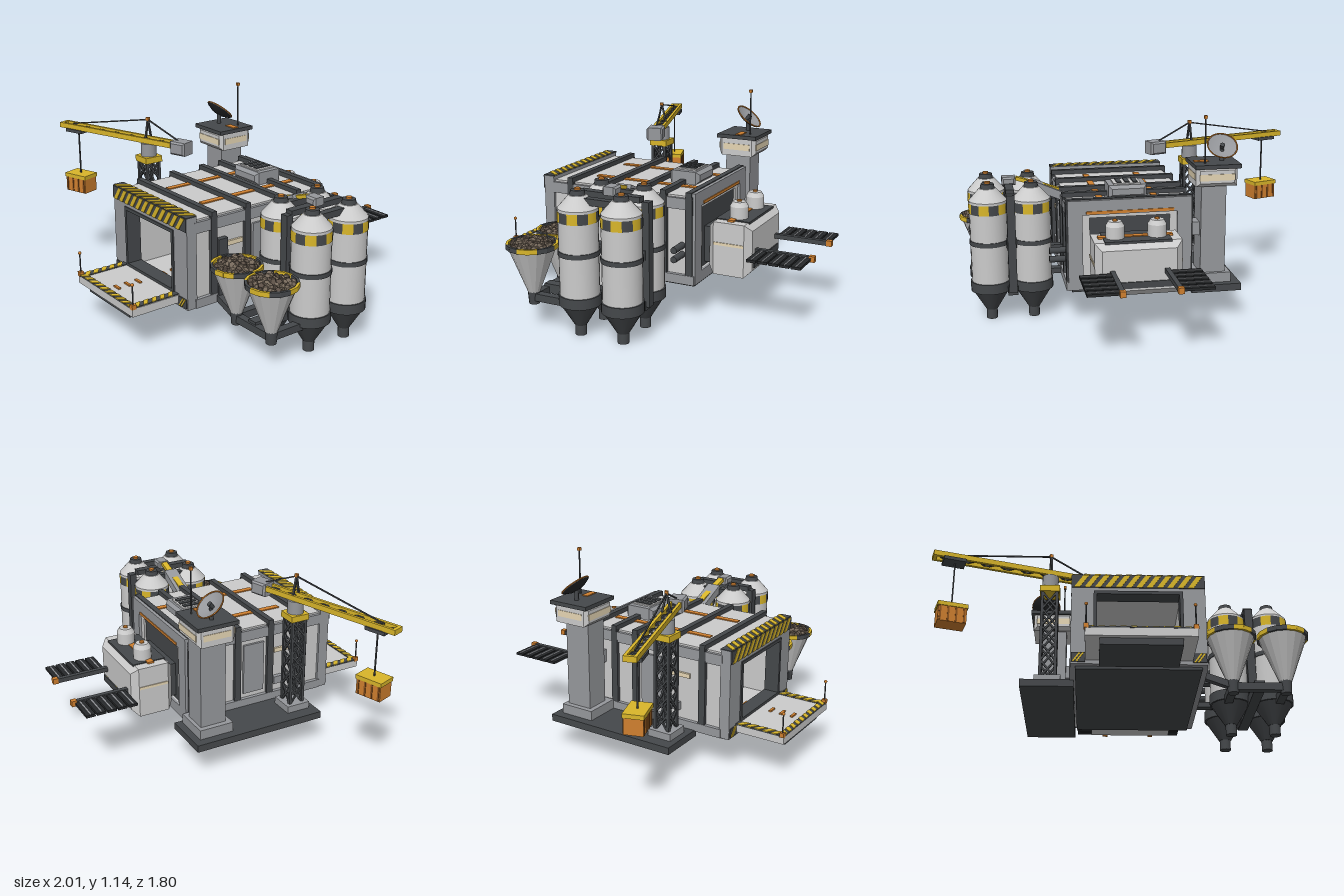
import * as THREE from 'three';

const mats = {};
const mat = (c, flat = false) => (mats[c + flat] ??= new THREE.MeshStandardMaterial({ color: c, flatShading: flat, side: THREE.DoubleSide }));
const GREY = 0xcccccc, MID = 0x96989c, DARK = 0x45484b, BLACK = 0x27292b, YEL = 0xd9b62a, ORG = 0xd0802f, CREAM = 0xe6d6b4;
const V = (x, y, z) => new THREE.Vector3(x, y, z);

function add(parent, name, geo, color, x = 0, y = 0, z = 0, flat = false) {
  const m = new THREE.Mesh(geo, mat(color, flat));
  m.name = name;
  m.position.set(x, y, z);
  parent.add(m);
  return m;
}
function group(parent, name, x = 0, y = 0, z = 0) {
  const g = new THREE.Group();
  g.name = name;
  g.position.set(x, y, z);
  parent.add(g);
  return g;
}
// box given by its limits on each axis
const box = (p, name, c, x0, x1, y0, y1, z0, z1) =>
  add(p, name, new THREE.BoxGeometry(x1 - x0, y1 - y0, z1 - z0), c, (x0 + x1) / 2, (y0 + y1) / 2, (z0 + z1) / 2);
const cyl = (p, name, c, r0, r1, y0, y1, x, z, n = 20, flat = false) =>
  add(p, name, new THREE.CylinderGeometry(r1, r0, y1 - y0, n), c, x, (y0 + y1) / 2, z, flat);
// square bar between two points
function beam(p, name, c, a, b, t, h = t) {
  const m = add(p, name, new THREE.BoxGeometry(t, h, a.distanceTo(b)), c);
  m.position.copy(a).add(b).multiplyScalar(0.5);
  const vertical = Math.abs(b.y - a.y) > 0.99 * a.distanceTo(b);
  if (vertical) m.rotation.x = Math.PI / 2;
  else m.rotation.setFromRotationMatrix(new THREE.Matrix4().lookAt(b, a, V(0, 1, 0)));
  return m;
}
// box with every edge cut by c
function chamferBox(p, name, color, w, h, d, c, x, y, z) {
  const a = w / 2 - c, b = h / 2 - c;
  const s = new THREE.Shape([[-a, -b], [a, -b], [a, b], [-a, b]].map(q => new THREE.Vector2(...q)));
  const g = new THREE.ExtrudeGeometry(s, { depth: d - 2 * c, bevelSize: c, bevelThickness: c, bevelSegments: 1 });
  return add(p, name, g.translate(0, 0, c - d / 2), color, x, y, z);
}
// rectangular frame lying in the xy plane
function frame(p, name, color, o, i, z0, z1) {
  const rect = (T, [x0, x1, y0, y1]) => new T([[x0, y0], [x1, y0], [x1, y1], [x0, y1]].map(q => new THREE.Vector2(...q)));
  const s = rect(THREE.Shape, o);
  s.holes.push(rect(THREE.Path, i));
  return add(p, name, new THREE.ExtrudeGeometry(s, { depth: z1 - z0, bevelEnabled: false }), color, 0, 0, z0);
}
// dark strip with slanted yellow bars, facing +z
function hazard(p, name, w, h, n, x, y, z, rx = 0, rz = 0) {
  const g = group(p, name, x, y, z);
  g.rotation.set(rx, 0, rz);
  add(g, 'stripBase', new THREE.BoxGeometry(w, h, 0.008), DARK);
  const pitch = (w - h * 0.7) / n;
  for (let i = 0; i < n; i++) {
    const a = -w / 2 + pitch * (i + 0.25), b = a + pitch * 0.55, k = h * 0.7;
    const s = new THREE.Shape([[a, -h / 2], [b, -h / 2], [b + k, h / 2], [a + k, h / 2]].map(q => new THREE.Vector2(...q)));
    add(g, 'stripe', new THREE.ExtrudeGeometry(s, { depth: 0.005, bevelEnabled: false }), YEL, 0, 0, 0.002);
  }
}

function hangar(root) {
  const g = group(root, 'hangar');
  frame(g, 'shell', GREY, [-0.24, 0.42, 0.2, 0.68], [-0.13, 0.31, 0.26, 0.6], -0.3, 0.56);
  box(g, 'glowingBackWall', CREAM, -0.13, 0.31, 0.26, 0.6, -0.24, -0.22);
  box(g, 'rearWall', DARK, -0.13, 0.31, 0.26, 0.6, -0.29, -0.27);
  box(g, 'underPlate', DARK, -0.23, 0.41, 0.185, 0.2, -0.3, 0.58);
  frame(g, 'frontFrame', MID, [-0.255, 0.435, 0.2, 0.7], [-0.135, 0.315, 0.26, 0.605], 0.55, 0.61);
  frame(g, 'doorTrim', DARK, [-0.14, 0.32, 0.255, 0.61], [-0.122, 0.302, 0.28, 0.592], 0.53, 0.617);
  frame(g, 'rearFrame', MID, [-0.25, 0.43, 0.2, 0.7], [-0.17, 0.35, 0.26, 0.62], -0.315, -0.28);
  box(g, 'rearTrim', ORG, -0.15, 0.33, 0.625, 0.64, -0.32, -0.31);
  hazard(g, 'lintelStripes', 0.69, 0.07, 12, 0.09, 0.665, 0.612);
  hazard(g, 'roofEdgeStripes', 0.69, 0.065, 12, 0.09, 0.702, 0.58, -Math.PI / 2);
  for (const x of [-0.215, 0.395]) hazard(g, 'footStripes', 0.07, 0.05, 2, x, 0.235, 0.612);
  // ribs wrapping roof and walls
  for (const z of [-0.28, -0.13, 0.01, 0.22, 0.44]) {
    box(g, 'roofRib', DARK, -0.26, 0.44, 0.67, 0.705, z - 0.016, z + 0.016);
    for (const x of [-0.247, 0.427]) box(g, 'wallRib', DARK, x - 0.012, x + 0.012, 0.22, 0.68, z - 0.02, z + 0.02);
  }
  for (const x of [-0.065, 0.24]) box(g, 'roofStripe', ORG, x - 0.017, x + 0.017, 0.67, 0.686, -0.25, 0.38);
  for (const s of [-1, 1]) {
    const x = 0.09 + s * 0.335;
    box(g, 'plinth', MID, x - 0.016, x + 0.016, 0.2, 0.25, -0.31, 0.56);
    box(g, 'eave', MID, x - 0.012, x + 0.012, 0.61, 0.67, -0.3, 0.56);
    box(g, 'sideWindow', CREAM, x - 0.008, x + 0.008, 0.495, 0.52, 0.25, 0.36);
    box(g, 'serviceBox', MID, x - 0.02, x + 0.02, 0.3, 0.345, 0.245, 0.3);
    box(g, 'sidePanel', MID, x - 0.008, x + 0.008, 0.28, 0.58, 0.05, 0.18);
  }
  // roof hatch
  chamferBox(g, 'roofHatch', MID, 0.21, 0.07, 0.18, 0.018, 0.085, 0.715, -0.13);
  box(g, 'hatchPanel', GREY, 0.01, 0.16, 0.74, 0.757, -0.19, -0.07);
  for (let i = 0; i < 3; i++) box(g, 'hatchSlot', DARK, 0.025 + i * 0.045, 0.05 + i * 0.045, 0.75, 0.763, -0.18, -0.08);
  // exhaust pipes on the wall
  for (const y of [0.36, 0.41]) {
    const m = cyl(g, 'exhaust', DARK, 0.018, 0.018, -0.06, 0.06, 0, 0, 12);
    m.position.set(0.465, y, -0.235);
    m.rotation.z = Math.PI / 2;
  }
  // floor markings
  for (let i = 0; i < 6; i++) box(g, 'floorMark', ORG, 0.065, 0.115, 0.26, 0.272, 0.81 - i * 0.065 - (i > 2 ? 0.1 : 0), 0.825 - i * 0.065 - (i > 2 ? 0.1 : 0));
}

function landingDeck(root) {
  const g = group(root, 'landingDeck');
  box(g, 'deck', GREY, -0.18, 0.36, 0.22, 0.264, 0.6, 0.895);
  box(g, 'deckUnderside', DARK, -0.11, 0.29, 0.185, 0.22, 0.61, 0.87);
  for (const x of [-0.16, 0.335]) hazard(g, 'sideStripes', 0.28, 0.042, 5, x, 0.265, 0.75, -Math.PI / 2, Math.PI / 2);
  hazard(g, 'frontStripes', 0.54, 0.035, 10, 0.09, 0.265, 0.878, -Math.PI / 2);
  for (const x of [-0.175, 0.35]) {
    cyl(g, 'post', DARK, 0.004, 0.004, 0.26, 0.39, x, 0.885, 8);
    box(g, 'postFoot', ORG, x - 0.012, x + 0.012, 0.26, 0.285, 0.872, 0.897);
    add(g, 'postLamp', new THREE.SphereGeometry(0.009, 10, 8), ORG, x, 0.392, 0.885);
  }
}

function silos(root) {
  const g = group(root, 'silos');
  for (const x of [0.605, 0.84]) for (const z of [-0.11, 0.14]) {
    const s = group(g, 'silo', x, 0, z);
    cyl(s, 'body', GREY, 0.103, 0.103, 0.2, 0.68, 0, 0, 24);
    cyl(s, 'dome', GREY, 0.103, 0.045, 0.68, 0.745, 0, 0, 24);
    cyl(s, 'cap', DARK, 0.04, 0.035, 0.745, 0.77, 0, 0, 12);
    cyl(s, 'capLight', ORG, 0.016, 0.016, 0.77, 0.78, 0, 0, 10);
    cyl(s, 'midBand', DARK, 0.108, 0.108, 0.435, 0.46, 0, 0, 24);
    cyl(s, 'lowBand', DARK, 0.11, 0.11, 0.17, 0.225, 0, 0, 24);
    cyl(s, 'cone', DARK, 0.032, 0.105, 0.055, 0.175, 0, 0, 16);
    cyl(s, 'spout', DARK, 0.03, 0.03, 0, 0.06, 0, 0, 16);
    for (let i = 0; i < 12; i++) {
      const t = new THREE.CylinderGeometry(0.106, 0.106, 0.055, 2, 1, true, i * Math.PI / 6, Math.PI / 6);
      add(s, 'bandBlock', t, i % 2 ? YEL : DARK, 0, 0.64, 0);
    }
  }
  // frames joining the silos
  for (const y of [0.18, 0.45]) {
    box(g, 'spine', DARK, 0.695, 0.75, y - 0.03, y + 0.02, -0.19, y < 0.3 ? 0.42 : 0.2);
    for (const z of [-0.11, 0.14]) box(g, 'crossBar', DARK, 0.55, 0.88, y - 0.02, y + 0.02, z - 0.025, z + 0.025);
  }
  for (const z of [-0.19, 0.2]) box(g, 'upright', DARK, 0.7, 0.745, 0.17, 0.72, z - 0.02, z + 0.02);
  for (const x of [0.605, 0.84]) box(g, 'topTie', DARK, x - 0.02, x + 0.02, 0.7, 0.735, -0.09, 0.12);
  for (const y of [0.22, 0.36]) box(g, 'wallTie', DARK, 0.42, 0.6, y - 0.015, y + 0.015, -0.02, 0.03);
  // feed chute from the roof
  beam(g, 'chute', MID, V(0.43, 0.66, 0.012), V(0.6, 0.735, 0.012), 0.08, 0.045);
  beam(g, 'chuteCover', YEL, V(0.44, 0.69, 0.012), V(0.68, 0.765, 0.012), 0.035, 0.02);
  chamferBox(g, 'feedBox', MID, 0.075, 0.045, 0.075, 0.01, 0.72, 0.755, 0.012);
  box(g, 'feedBar', DARK, 0.7, 0.745, 0.71, 0.74, -0.16, 0.19);
}

function hoppers(root) {
  const g = group(root, 'oreHoppers');
  let seed = 7;
  const rnd = () => (seed = (seed * 16807) % 2147483647) / 2147483647;
  for (const x of [0.585, 0.86]) {
    const h = group(g, 'hopper', x, 0, 0.41);
    const pts = [[0.03, 0.19], [0.125, 0.44], [0.115, 0.44], [0.02, 0.2]].map(q => new THREE.Vector2(...q));
    add(h, 'funnel', new THREE.LatheGeometry(pts, 16), GREY, 0, 0, 0, true);
    cyl(h, 'outlet', DARK, 0.028, 0.034, 0.13, 0.21, 0, 0, 12);
    cyl(h, 'oreBed', 0x51483f, 0.1, 0.115, 0.4, 0.445, 0, 0, 16);
    // rim of alternating blocks
    for (let i = 0; i < 16; i++) {
      const a = (i + 0.5) / 16 * Math.PI * 2;
      const b = add(h, 'rimBlock', new THREE.BoxGeometry(0.053, 0.026, 0.014), i % 4 < 2 ? YEL : DARK, Math.sin(a) * 0.127, 0.45, Math.cos(a) * 0.127);
      b.rotation.y = a;
    }
    for (let i = 0; i < 46; i++) {
      const r = Math.sqrt((i + 0.5) / 46) * 0.105, a = i * 2.4;
      const m = add(h, 'ore', new THREE.DodecahedronGeometry(0.017 + rnd() * 0.012), i % 3 ? 0x75685a : 0x5c5046, Math.sin(a) * r, 0.475 - r * 0.25, Math.cos(a) * r, true);
      m.rotation.set(rnd() * 6, rnd() * 6, 0);
      m.scale.y = 0.75;
    }
    box(g, 'link', DARK, x - 0.022, x + 0.022, 0.15, 0.19, 0.15, 0.41);
  }
  box(g, 'hopperTie', DARK, 0.585, 0.86, 0.145, 0.185, 0.39, 0.43);
  box(g, 'wallBracket', DARK, 0.42, 0.45, 0.22, 0.55, 0.36, 0.42);
  beam(g, 'braceArm', DARK, V(0.42, 0.23, 0.41), V(0.585, 0.17, 0.41), 0.035);
}

function controlTower(root) {
  const g = group(root, 'controlTower');
  box(g, 'footing', DARK, -0.52, -0.24, 0.165, 0.205, -0.38, 0.4);
  box(g, 'towerFoot', MID, -0.47, -0.26, 0.2, 0.26, -0.34, -0.14);
  box(g, 'shaft', MID, -0.44, -0.3, 0.2, 0.77, -0.32, -0.17);
  box(g, 'walkway', MID, -0.33, -0.23, 0.47, 0.545, -0.29, -0.2);
  chamferBox(g, 'cabin', GREY, 0.23, 0.11, 0.225, 0.02, -0.378, 0.81, -0.25);
  box(g, 'windows', CREAM, -0.475, -0.28, 0.79, 0.825, -0.366, -0.134);
  box(g, 'windowsSide', CREAM, -0.496, -0.26, 0.79, 0.825, -0.33, -0.17);
  box(g, 'roof', DARK, -0.51, -0.255, 0.855, 0.877, -0.37, -0.13);
  box(g, 'roofMark', ORG, -0.35, -0.27, 0.87, 0.882, -0.275, -0.24);
  cyl(g, 'antenna', DARK, 0.005, 0.004, 0.87, 1.13, -0.32, -0.31, 8);
  box(g, 'antennaTip', ORG, -0.328, -0.312, 1.12, 1.137, -0.318, -0.302);
  // dish tilted to face up and back
  cyl(g, 'dishStand', DARK, 0.012, 0.012, 0.87, 0.94, -0.43, -0.25, 8);
  const d = group(g, 'dish', -0.43, 0.94, -0.24);
  d.rotation.x = -0.72;
  const pts = [[0, 0], [0.045, 0.008], [0.083, 0.026]].map(q => new THREE.Vector2(...q));
  add(d, 'reflector', new THREE.LatheGeometry(pts, 24), MID);
  add(d, 'backing', new THREE.LatheGeometry(pts, 24), BLACK, 0, -0.005, 0);
  add(d, 'rim', new THREE.TorusGeometry(0.083, 0.004, 6, 24).rotateX(Math.PI / 2), ORG, 0, 0.027, 0);
  cyl(d, 'feedHorn', DARK, 0.01, 0.014, 0, 0.035, 0, 0, 8);
}

function crane(root) {
  const g = group(root, 'crane', -0.38, 0, 0.295);
  box(g, 'craneFoot', MID, -0.07, 0.07, 0.2, 0.245, -0.07, 0.07);
  const r = 0.04, n = 5, step = 0.51 / n;
  const corner = i => V([r, r, -r, -r][i % 4], 0, [r, -r, -r, r][i % 4]);
  for (let i = 0; i < 4; i++) {
    const a = corner(i), b = corner(i + 1), at = (p, y) => V(p.x, y, p.z);
    beam(g, 'mastPost', DARK, at(a, 0.24), at(a, 0.755), 0.016);
    for (let k = 0; k < n; k++) {
      const y = 0.24 + k * step;
      beam(g, 'lattice', DARK, at(a, y), at(b, y + step), 0.01);
      beam(g, 'lattice', DARK, at(b, y), at(a, y + step), 0.01);
    }
  }
  box(g, 'mastCap', YEL, -0.055, 0.055, 0.75, 0.785, -0.055, 0.055);
  cyl(g, 'slewRing', MID, 0.045, 0.045, 0.78, 0.86, 0, 0, 16);
  // jib: local +x runs outward
  const j = group(g, 'jib');
  j.rotation.y = Math.PI + 0.32;
  for (const z of [-0.026, 0.026]) box(j, 'jibRail', YEL, -0.23, 0.65, 0.862, 0.892, z - 0.008, z + 0.008);
  for (let k = 0; k < 15; k++) {
    const x = -0.2 + k * 0.056, s = k % 2 ? 1 : -1;
    beam(j, 'jibLattice', DARK, V(x, 0.876, -0.026 * s), V(x + 0.056, 0.876, 0.026 * s), 0.01);
  }
  box(j, 'jibEnd', YEL, 0.635, 0.655, 0.862, 0.892, -0.034, 0.034);
  chamferBox(j, 'counterweight', MID, 0.1, 0.075, 0.095, 0.01, -0.235, 0.868, 0);
  for (const z of [-0.026, 0.026]) beam(j, 'apexLeg', DARK, V(0, 0.88, z), V(0, 1, 0), 0.01);
  box(j, 'apexLamp', ORG, -0.009, 0.009, 0.99, 1.008, -0.009, 0.009);
  beam(j, 'tieRod', DARK, V(0, 0.995, 0), V(0.57, 0.89, 0), 0.007);
  beam(j, 'tieRod', DARK, V(0, 0.995, 0), V(-0.22, 0.9, 0), 0.007);
  box(j, 'trolley', DARK, 0.48, 0.6, 0.845, 0.864, -0.042, 0.042);
  beam(j, 'cable', DARK, V(0.535, 0.58, 0), V(0.535, 0.85, 0), 0.007);
  // hanging crate
  box(j, 'crate', ORG, 0.46, 0.61, 0.475, 0.565, -0.05, 0.05);
  box(j, 'crateLid', YEL, 0.455, 0.615, 0.562, 0.585, -0.055, 0.055);
  for (let k = 0; k < 4; k++) box(j, 'crateSlat', 0x8f5520, 0.468 + k * 0.042, 0.478 + k * 0.042, 0.478, 0.562, -0.054, 0.054);
}

function powerModule(root) {
  const g = group(root, 'powerModule');
  box(g, 'coupling', DARK, -0.08, 0.26, 0.28, 0.48, -0.37, -0.27);
  chamferBox(g, 'housing', GREY, 0.465, 0.29, 0.245, 0.035, 0.087, 0.385, -0.455);
  box(g, 'topPlate', DARK, -0.09, 0.265, 0.52, 0.535, -0.55, -0.36);
  box(g, 'topStripe', ORG, -0.11, 0.29, 0.53, 0.54, -0.47, -0.435);
  box(g, 'sideLight', CREAM, -0.15, 0.324, 0.405, 0.42, -0.54, -0.37);
  hazard(g, 'rearStripes', 0.36, 0.035, 7, 0.087, 0.305, -0.58);
  for (const x of [-0.025, 0.2]) {
    cyl(g, 'tank', GREY, 0.05, 0.05, 0.53, 0.6, x, -0.465, 20);
    cyl(g, 'tankTop', GREY, 0.05, 0.035, 0.6, 0.625, x, -0.465, 20);
    cyl(g, 'tankLight', ORG, 0.013, 0.013, 0.62, 0.633, x, -0.465, 10);
  }
  // solar wings, mirrored about the module centre
  for (const s of [-1, 1]) {
    const w = group(g, 'solarWing', 0.087 + s * 0.145, 0.375, 0);
    box(w, 'wingArm', DARK, -0.013, 0.013, -0.013, 0.013, -0.89, -0.55);
    box(w, 'wingTip', ORG, -0.015, 0.015, -0.015, 0.017, -0.905, -0.875);
    for (let i = 0; i < 5; i++) {
      const z = -0.86 + i * 0.0605, x = s * 0.093;
      box(w, 'panel', BLACK, x - 0.083, x + 0.083, -0.008, 0.006, z - 0.026, z + 0.026);
      box(w, 'panelLine', MID, x - 0.08, x + 0.08, 0, 0.009, z - 0.004, z + 0.004);
    }
  }
}

export function createModel() {
  const root = new THREE.Group();
  root.name = 'miningBase';
  for (const build of [hangar, landingDeck, silos, hoppers, controlTower, crane, powerModule]) build(root);
  return root;
}
